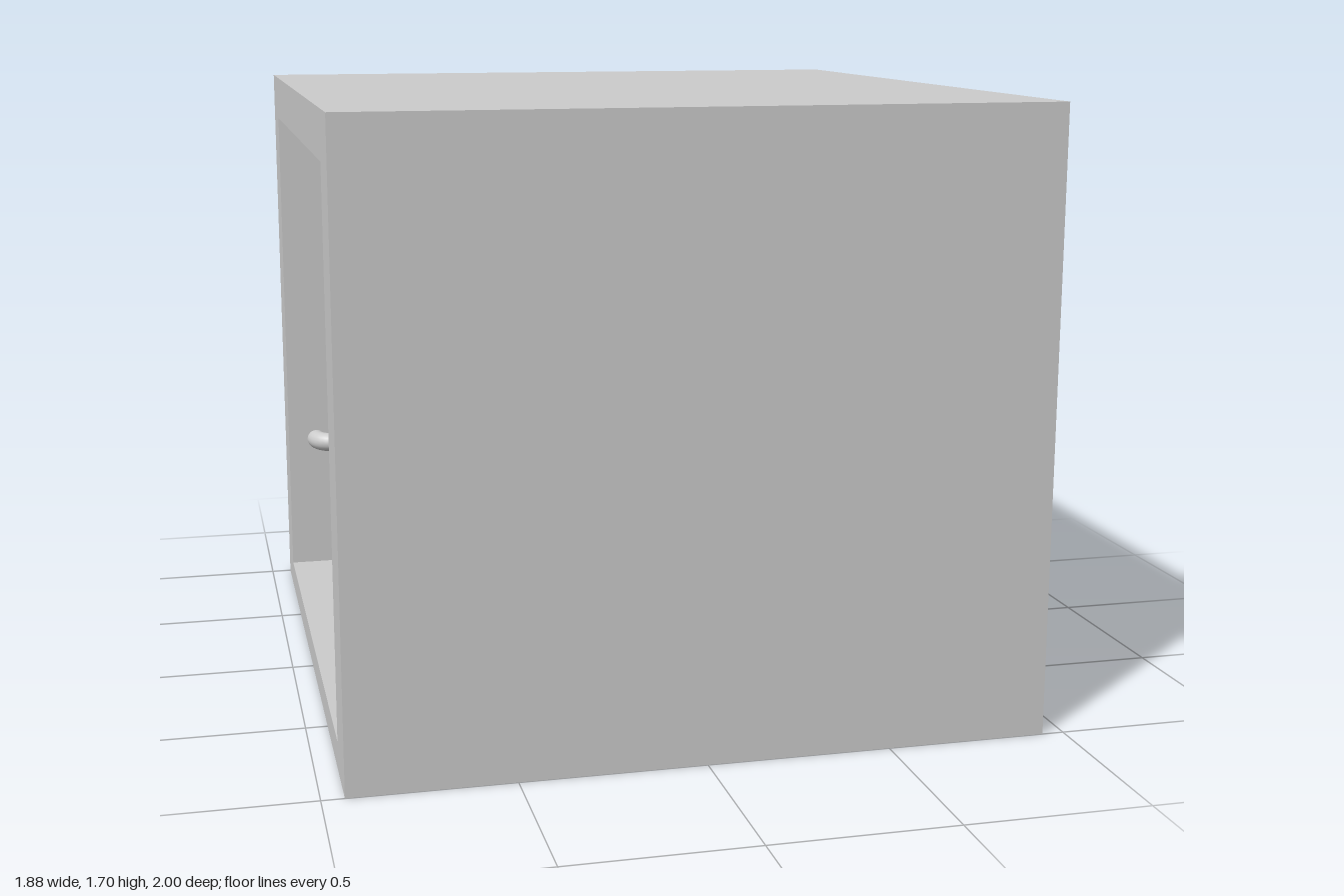
import * as THREE from 'three';

const material = new THREE.MeshStandardMaterial({ color: 0xcccccc });

// Outer size and inner room limits (the room opens towards -x)
const W = 1.88, H = 1.7, D = 2;
const room = { back: 0.81, floor: 0.08, ceiling: 1.57, side: 0.82 };

function addMesh(parent, geometry, name) {
  const mesh = new THREE.Mesh(geometry, material);
  mesh.name = name;
  parent.add(mesh);
  return mesh;
}

// Box between two corners without its -x face; inward turns its faces inside
function openBox(min, max, inward) {
  const size = max.clone().sub(min);
  const geometry = new THREE.BoxGeometry(size.x, size.y, size.z);
  const index = Array.from(geometry.index.array);
  index.splice(6, 6);
  if (inward) {
    index.reverse();
    const normal = geometry.attributes.normal;
    for (let i = 0; i < normal.array.length; i++) normal.array[i] *= -1;
  }
  geometry.setIndex(index);
  geometry.clearGroups();
  const centre = min.clone().add(max).multiplyScalar(0.5);
  return geometry.translate(centre.x, centre.y, centre.z);
}

function rectangle(target, x0, x1, y0, y1) {
  target.moveTo(x0, y0);
  target.lineTo(x1, y0);
  target.lineTo(x1, y1);
  target.lineTo(x0, y1);
  target.closePath();
  return target;
}

// Rail along x from a to b, standing off a wall at z = wall, ends bent into it
function railGeometry(a, b, wall) {
  const y = 0.504, bend = 0.09, z = wall - 0.07;
  const p = (x, pz) => new THREE.Vector3(x, y, pz);
  const path = new THREE.CurvePath();
  path.add(new THREE.QuadraticBezierCurve3(p(a, wall + 0.01), p(a, z), p(a + bend, z)));
  path.add(new THREE.LineCurve3(p(a + bend, z), p(b - bend, z)));
  path.add(new THREE.QuadraticBezierCurve3(p(b - bend, z), p(b, z), p(b, wall + 0.01)));
  return new THREE.TubeGeometry(path, 120, 0.03, 20, false);
}

export function createModel() {
  const model = new THREE.Group();
  model.name = 'cabin';

  // Shell: outer walls, room walls and the frame around the opening
  const shell = new THREE.Group();
  shell.name = 'shell';
  model.add(shell);
  const v = (x, y, z) => new THREE.Vector3(x, y, z);
  addMesh(shell, openBox(v(-W / 2, 0, -D / 2), v(W / 2, H, D / 2), false), 'outerWalls');
  addMesh(shell, openBox(
    v(-W / 2, room.floor, -room.side), v(room.back, room.ceiling, room.side), true), 'roomWalls');

  const frame = rectangle(new THREE.Shape(), -D / 2, D / 2, 0, H);
  frame.holes.push(rectangle(new THREE.Path(), -room.side, room.side, room.floor, room.ceiling));
  const frameGeometry = new THREE.ShapeGeometry(frame);
  frameGeometry.rotateY(-Math.PI / 2).translate(-W / 2, 0, 0);
  addMesh(shell, frameGeometry, 'openingFrame');

  // Handrails on both side walls and the back wall
  const sideRail = railGeometry(-0.85, 0.7, room.side);
  addMesh(model, sideRail, 'rightHandrail');
  const opposite = railGeometry(-0.7, 0.85, room.side);
  addMesh(model, opposite, 'leftHandrail').rotation.y = Math.PI;
  const backRail = railGeometry(-0.68, 0.68, room.back);
  addMesh(model, backRail, 'backHandrail').rotation.y = Math.PI / 2;

  return model;
}
